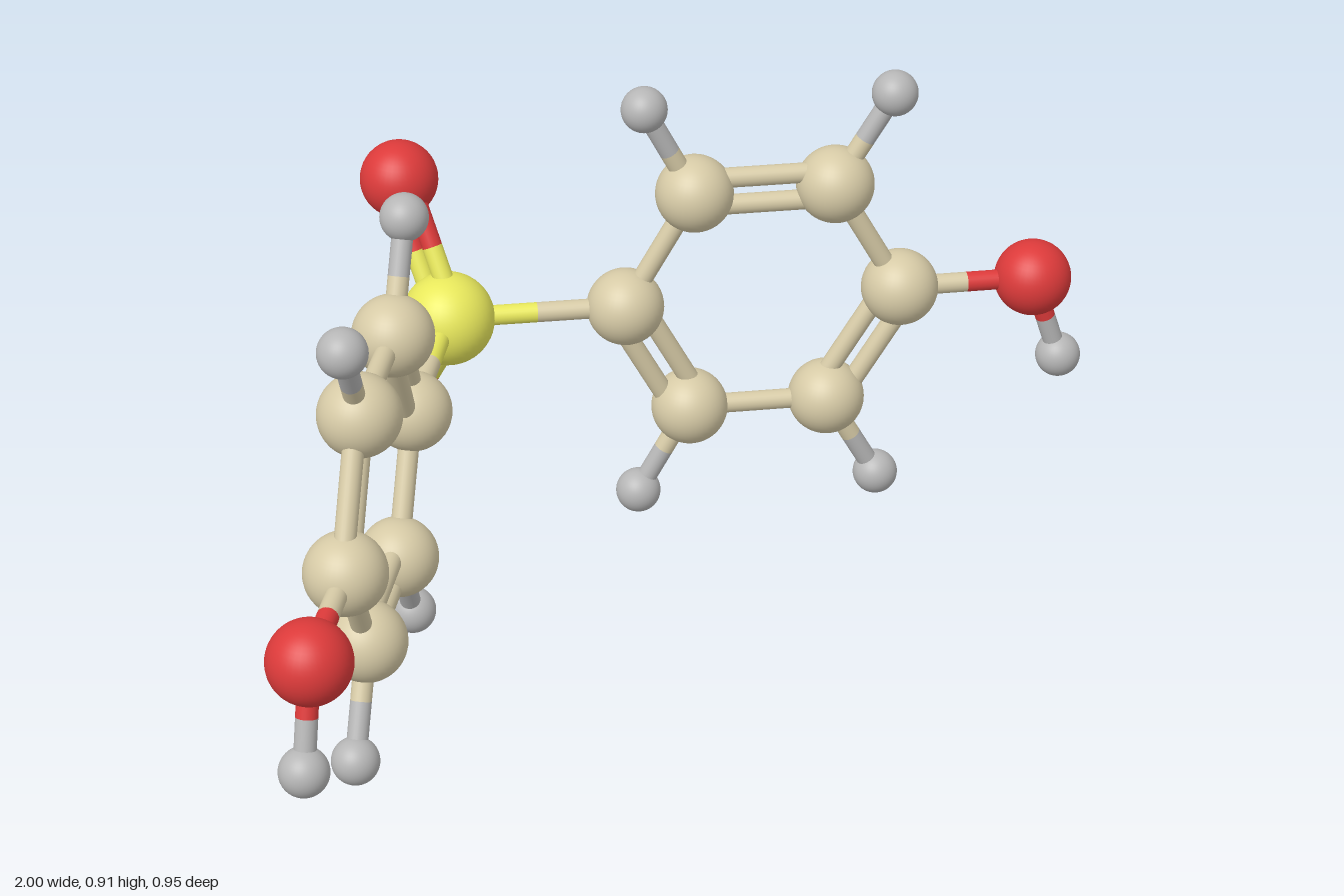
import * as THREE from 'three';

const KINDS = {
  carbon: { r: 0.073, color: 0xd6caa6 },
  hydrogen: { r: 0.043, color: 0xb6b6b6 },
  oxygen: { r: 0.073, color: 0xdc3a3a },
  sulfur: { r: 0.088, color: 0xe8e85c },
};
const ROD = 0.019;   // bond radius
const GAP = 0.028;   // half spacing of double bonds
const MID = 0.456;   // height of the molecule's axis

export function createModel() {
  const model = new THREE.Group();
  model.name = 'molecule';
  const mats = {};
  for (const k in KINDS) mats[k] = new THREE.MeshStandardMaterial({ color: KINDS[k].color });

  function atom(parent, kind, x, y, z) {
    const mesh = new THREE.Mesh(new THREE.SphereGeometry(KINDS[kind].r, 40, 24), mats[kind]);
    mesh.name = kind + 'Atom';
    mesh.position.set(x, y, z);
    parent.add(mesh);
    return { kind, p: mesh.position };
  }

  // One rod, coloured half and half by the atoms it joins
  function rod(parent, a, b, shift) {
    const dir = b.p.clone().sub(a.p);
    const len = dir.length();
    dir.normalize();
    [a, b].forEach((end, i) => {
      const mesh = new THREE.Mesh(new THREE.CylinderGeometry(ROD, ROD, len / 2, 24, 1, true), mats[end.kind]);
      mesh.name = end.kind + 'Bond';
      mesh.position.copy(a.p).addScaledVector(dir, len * (0.25 + 0.5 * i)).add(shift);
      mesh.quaternion.setFromUnitVectors(new THREE.Vector3(0, 1, 0), dir);
      parent.add(mesh);
    });
  }

  // Double bonds lie side by side in the plane with the given normal
  function bond(parent, a, b, normal) {
    if (!normal) return rod(parent, a, b, new THREE.Vector3());
    const side = b.p.clone().sub(a.p).cross(normal).normalize();
    for (const s of [-GAP, GAP]) rod(parent, a, b, side.clone().multiplyScalar(s));
  }

  // Central sulfur with two double-bonded oxygens
  const core = new THREE.Group();
  core.name = 'sulfonylCore';
  model.add(core);
  const sulfur = atom(core, 'sulfur', 0, MID, -0.262);
  for (const s of [1, -1]) {
    const oxygen = atom(core, 'oxygen', 0.008 * s, MID + 0.239 * s, -0.4);
    bond(core, sulfur, oxygen, new THREE.Vector3(1, 0, 0));
  }

  // Two mirrored phenol arms
  for (const s of [1, -1]) {
    const arm = new THREE.Group();
    arm.name = s > 0 ? 'leftArm' : 'rightArm';
    model.add(arm);
    const normal = new THREE.Vector3(0.307 * s, 0, -0.427).normalize();

    // Ring carbons: inner, two upper, outer, two lower
    const ring = [
      [0.27, 0, -0.064], [0.374, 0.23, 0.009], [0.589, 0.23, 0.165],
      [0.697, 0, 0.243], [0.589, -0.23, 0.165], [0.374, -0.23, 0.009],
    ].map(([x, y, z]) => atom(arm, 'carbon', x * s, MID + y, z));

    // Alternating double bonds, staggered between the two arms
    ring.forEach((c, i) => {
      const isDouble = (i % 2 === 1) === (s > 0);
      bond(arm, c, ring[(i + 1) % 6], isDouble ? normal : null);
    });
    bond(arm, sulfur, ring[0]);

    // Ring hydrogens
    [[1, 0.294, 0.411, -0.046], [2, 0.674, 0.411, 0.226],
      [4, 0.674, -0.411, 0.226], [5, 0.294, -0.411, -0.046]].forEach(([i, x, y, z]) => {
      bond(arm, ring[i], atom(arm, 'hydrogen', x * s, MID + y, z));
    });

    // Hydroxyl end
    const oxygen = atom(arm, 'oxygen', 0.907 * s, MID, 0.394);
    const hydrogen = atom(arm, 'hydrogen', 0.957 * s, 0.281, 0.43);
    bond(arm, ring[3], oxygen);
    bond(arm, oxygen, hydrogen);
  }
  return model;
}
